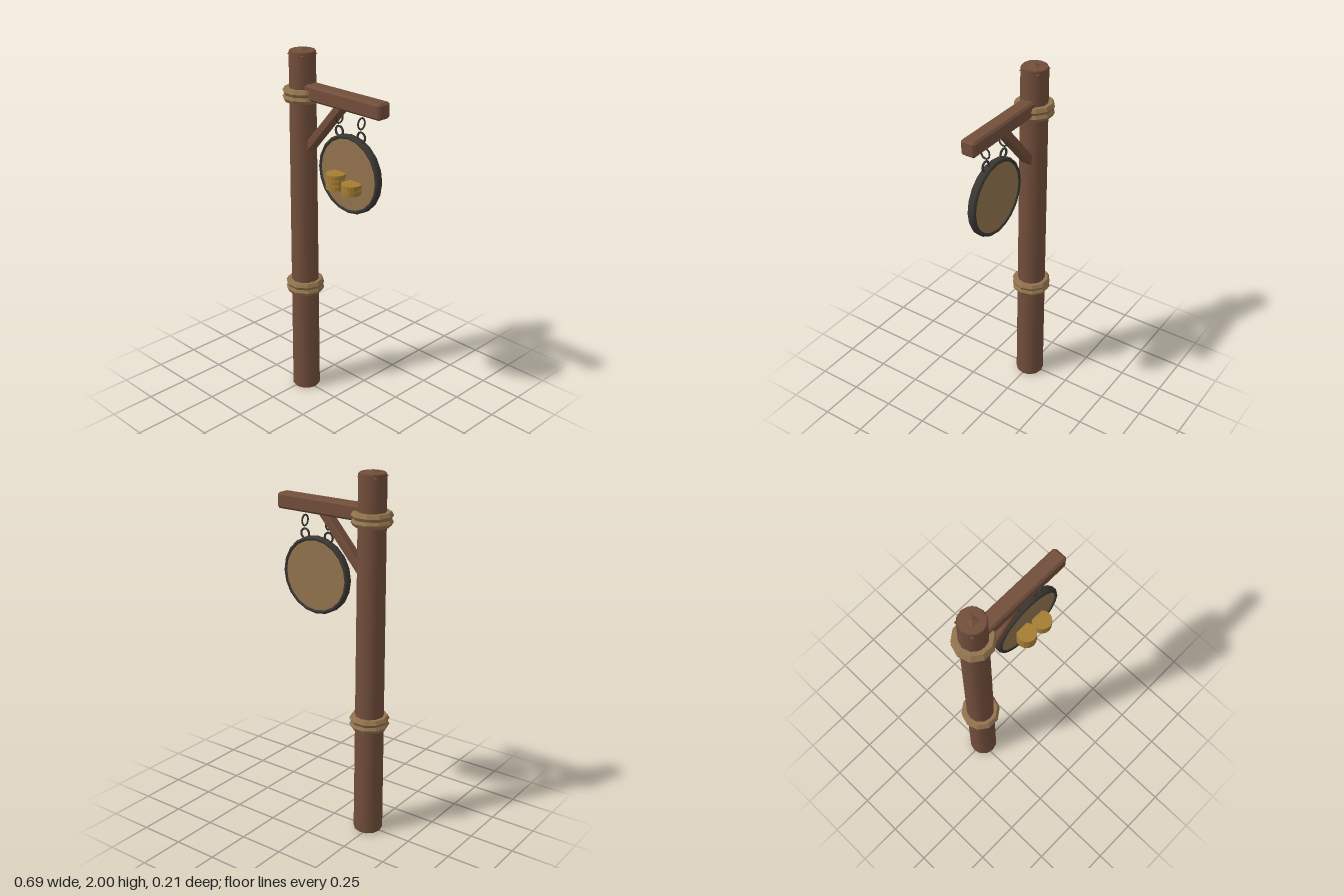
import * as THREE from 'three';
import { ConvexGeometry } from 'three/addons/geometries/ConvexGeometry.js';

const POST_X = -0.236, MID_Z = -0.004;

const material = (name, color, flatShading = false) => {
  const m = new THREE.MeshStandardMaterial({ color, flatShading });
  m.name = name;
  return m;
};

// Box with chamfered edges: each corner becomes three points
function chamferBox(w, h, d, c) {
  const points = [];
  for (const x of [-1, 1]) for (const y of [-1, 1]) for (const z of [-1, 1]) {
    for (let axis = 0; axis < 3; axis++) {
      const half = [w / 2, h / 2, d / 2].map((v, i) => (i === axis ? v : v - c));
      points.push(new THREE.Vector3(x * half[0], y * half[1], z * half[2]));
    }
  }
  return new ConvexGeometry(points);
}

export function createModel() {
  const wood = material('brown wood', 0x724e3b);
  const rope = material('tan rope and board', 0x92734d, true);
  const iron = material('dark iron', 0x3a3733);
  const gold = material('gold', 0xa47d33, true);

  const model = new THREE.Group();
  model.name = 'hangingSignPost';
  const add = (name, geometry, mat, x, y, z, parent = model) => {
    const mesh = new THREE.Mesh(geometry, mat);
    mesh.name = name;
    mesh.position.set(x, y, z);
    parent.add(mesh);
    return mesh;
  };

  // Tapered post with softly shaded ends
  const profile = [[0, 0], [0.074, 0], [0.08, 0.008], [0.072, 1.977], [0.065, 1.985], [0, 1.985]]
    .map(([r, y]) => new THREE.Vector2(r, y));
  add('post', new THREE.LatheGeometry(profile, 12, Math.PI / 2), wood, POST_X, 0, MID_Z);

  // Shallow square cap whose corners poke through the post
  const cap = new THREE.ConeGeometry(0.081, 0.036, 4).toNonIndexed();
  cap.computeVertexNormals();
  add('postCap', cap, wood, POST_X, 1.982, MID_Z).rotation.y = Math.PI / 4;

  // Two bindings of two rope rings each
  const ringGeometry = new THREE.TorusGeometry(0.086, 0.022, 6, 10).rotateX(Math.PI / 2);
  for (const [label, y] of [['lower', 0.653], ['upper', 1.755]]) {
    const binding = new THREE.Group();
    binding.name = label + 'Binding';
    model.add(binding);
    for (const dy of [-0.017, 0.017]) add('ropeRing', ringGeometry, rope, POST_X, y + dy, MID_Z, binding);
  }

  // Horizontal beam and diagonal brace
  add('beam', chamferBox(0.552, 0.084, 0.083, 0.011), wood, 0.066, 1.778, MID_Z);
  add('brace', chamferBox(0.39, 0.047, 0.064, 0.008), wood, -0.06, 1.616, MID_Z)
    .rotation.z = THREE.MathUtils.degToRad(48.6);

  // Round sign board with an iron rim
  const sign = new THREE.Group();
  sign.name = 'sign';
  sign.position.set(0.113, 1.4, 0);
  model.add(sign);
  add('board', new THREE.CylinderGeometry(0.195, 0.195, 0.032, 20).rotateX(Math.PI / 2), rope, 0, 0, 0, sign);
  const rimProfile = [[0.188, -0.012], [0.194, -0.022], [0.204, -0.022], [0.211, -0.012],
    [0.211, 0.012], [0.204, 0.022], [0.194, 0.022], [0.188, 0.012], [0.188, -0.012]]
    .map(([r, y]) => new THREE.Vector2(r, y));
  add('rim', new THREE.LatheGeometry(rimProfile, 20).rotateX(Math.PI / 2), iron, 0, 0, 0, sign);

  // Hanging rings, with a crosswise link above each
  for (const x of [-0.077, 0.077]) {
    add('signRing', new THREE.TorusGeometry(0.026, 0.006, 6, 14), iron, x, 0.214, 0, sign);
    const link = add('chainLink', new THREE.TorusGeometry(0.029, 0.005, 6, 14), iron, x, 0.285, 0, sign);
    link.rotation.y = Math.PI / 2;
    link.scale.x = 0.85;
  }

  // Two stacks of coins standing out from the board
  const coin = new THREE.CylinderGeometry(0.052, 0.052, 0.026, 18);
  for (const [label, x, count] of [['tall', -0.05, 3], ['short', 0.061, 2]]) {
    const stack = new THREE.Group();
    stack.name = label + 'CoinStack';
    sign.add(stack);
    for (let i = 0; i < count; i++) {
      add('coin', coin, gold, x, -0.063 + i * 0.028, 0.053, stack);
    }
    // Thinner core closes the gaps between coins
    add('coinCore', new THREE.CylinderGeometry(0.048, 0.048, count * 0.028 - 0.006, 18), gold,
      x, -0.063 + (count - 1) * 0.014, 0.053, stack);
  }

  return model;
}
